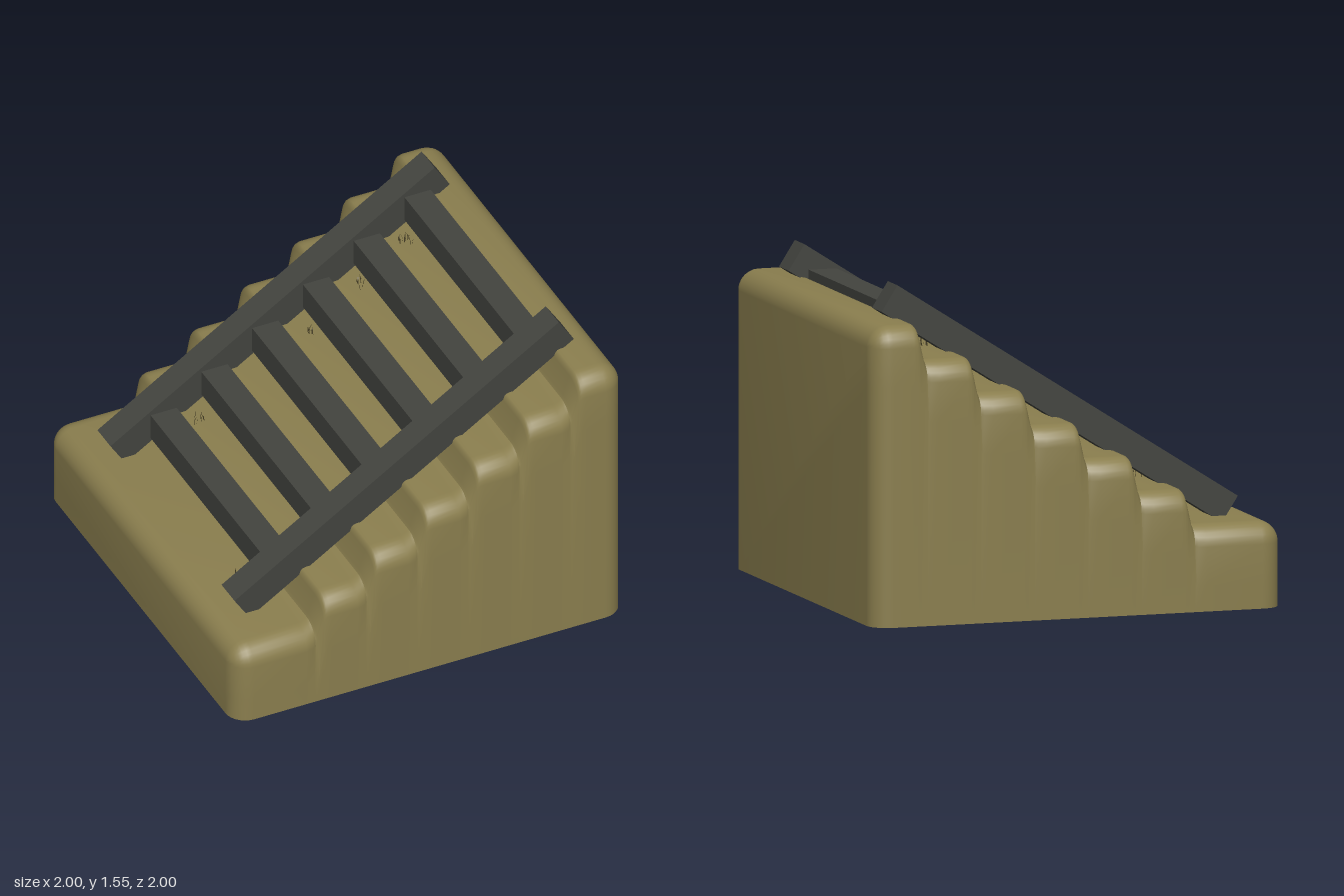
import * as THREE from 'three';
import { toCreasedNormals } from 'three/addons/utils/BufferGeometryUtils.js';

const earth = new THREE.MeshStandardMaterial({ color: 0x8a7e4e });
earth.name = 'earth';
const timber = new THREE.MeshStandardMaterial({ color: 0x43443f });
timber.name = 'darkTimber';
const dryGrass = new THREE.MeshStandardMaterial({ color: 0x4a4228, side: THREE.DoubleSide });
dryGrass.name = 'dryGrass';

const STEPS = 6, PITCH = 0.261, RISE = 0.1667, BASE = 0.4, R = 0.1, ARC = 7;

function add(parent, name, geometry, material) {
  const mesh = new THREE.Mesh(geometry, material);
  mesh.name = name;
  parent.add(mesh);
  return mesh;
}

// Cross-sections along x: position, height, inset of the rounded ends, side groove
function stations() {
  const list = [];
  for (let i = 0; i <= ARC; i++) {
    const a = (i / ARC) * Math.PI / 2;
    list.push({ x: -1 + R - R * Math.cos(a), h: BASE, d: R - R * Math.sin(a), g: 0 });
  }
  for (let s = 0; s < STEPS; s++) {
    const x = -0.57 + s * PITCH, h = BASE + s * RISE, top = h + RISE;
    [[-0.06, h, 0], [-0.02, h, 0.012], [-0.006, h + 0.006, 0.02], [0.002, h + 0.022, 0.02],
      [0.03, top - 0.035, 0.01], [0.037, top - 0.014, 0.006], [0.047, top - 0.004, 0.003],
      [0.065, top, 0]].forEach(([dx, y, g]) => list.push({ x: x + dx, h: y, d: 0, g }));
  }
  const H = BASE + STEPS * RISE;
  for (let i = 0; i <= ARC; i++) {
    const a = (i / ARC) * Math.PI / 2;
    list.push({ x: 1 - R + R * Math.sin(a), h: H, d: R - R * Math.cos(a), g: 0 });
  }
  return list;
}

// Stepped mound, rounded along the top and at the upright corners
function moundGeometry() {
  const rings = stations().map(({ x, h, d, g }) => {
    const w = 1 - d, r = R - d, half = [[w, 0], [w, h - 0.28]];
    for (let i = 0; i <= ARC; i++) {
      const a = (i / ARC) * Math.PI / 2;
      half.push([w - g - r + r * Math.cos(a), h - R + r * Math.sin(a)]);
    }
    const other = half.map(([z, y]) => [-z, y]).reverse();
    return [...half, ...other].map(([z, y]) => [x, y, z]);
  });
  const n = rings[0].length, last = (rings.length - 1) * n, index = [];
  for (let i = 0; i < rings.length - 1; i++) {
    for (let j = 0; j < n; j++) {
      const k = (j + 1) % n;
      const a = i * n + j, b = a + n, c = (i + 1) * n + k, d = i * n + k;
      index.push(a, b, c, a, c, d);
    }
  }
  for (let j = 1; j < n - 1; j++) index.push(0, j, j + 1, last, last + j + 1, last + j);
  const geo = new THREE.BufferGeometry();
  geo.setAttribute('position', new THREE.Float32BufferAttribute(rings.flat(2), 3));
  geo.setIndex(index);
  return toCreasedNormals(geo, Math.PI / 5);
}

// A tuft of thin bent blades
function tuftGeometry(count, spread, seed) {
  let state = seed;
  const rand = () => (state = (state * 16807) % 2147483647) / 2147483647;
  const pos = [];
  for (let i = 0; i < count; i++) {
    const a = rand() * Math.PI * 2, c = Math.cos(a), s = Math.sin(a);
    const x = (rand() - 0.5) * spread, z = (rand() - 0.5) * spread;
    const h = 0.03 + rand() * 0.03, w = 0.003, lean = 0.006 + rand() * 0.01;
    const l = [x - s * w, -0.002, z + c * w], r = [x + s * w, -0.002, z - c * w];
    const ml = [l[0] + c * lean * 0.3, h * 0.6, l[2] + s * lean * 0.3];
    const mr = [r[0] + c * lean * 0.3, h * 0.6, r[2] + s * lean * 0.3];
    const tip = [x + c * lean, h, z + s * lean];
    pos.push(...l, ...r, ...mr, ...l, ...mr, ...ml, ...ml, ...mr, ...tip);
  }
  const geo = new THREE.BufferGeometry();
  geo.setAttribute('position', new THREE.Float32BufferAttribute(pos, 3));
  geo.computeVertexNormals();
  return geo;
}

export function createModel() {
  const model = new THREE.Group();
  model.name = 'steppedMound';
  add(model, 'mound', moundGeometry(), earth);

  // Ladder lying on the slope: two rails and level treads
  const ladder = new THREE.Group();
  ladder.name = 'ladder';
  model.add(ladder);
  for (const side of [1, -1]) {
    const rail = add(ladder, side > 0 ? 'frontRail' : 'backRail',
      new THREE.BoxGeometry(1.972, 0.143, 0.138), timber);
    rail.position.set(-0.002, 0.961, side * 0.659);
    rail.rotation.z = Math.atan2(1.065, 1.66);
  }
  for (let i = 0; i < STEPS; i++) {
    const tread = add(ladder, 'tread', new THREE.BoxGeometry(0.134, 0.13, 1.2), timber);
    tread.position.set(-0.598 + i * 0.26, 0.535 + i * RISE, 0);
  }

  // Grass tufts: x, z, step, blades, spread
  [[-0.71, 0.49, 0, 12, 0.08], [-0.47, -0.51, 1, 6, 0.07], [-0.2, 0.555, 2, 6, 0.05],
    [-0.11, 0.57, 2, 4, 0.04], [0.1, -0.47, 3, 5, 0.04], [0.03, 0.58, 3, 3, 0.03],
    [0.38, -0.5, 4, 6, 0.06], [0.6, -0.52, 5, 9, 0.07]].forEach(([x, z, step, n, spread], i) => {
    add(model, 'grassTuft', tuftGeometry(n, spread, 101 + i * 977), dryGrass)
      .position.set(x, BASE + step * RISE, z);
  });
  return model;
}
